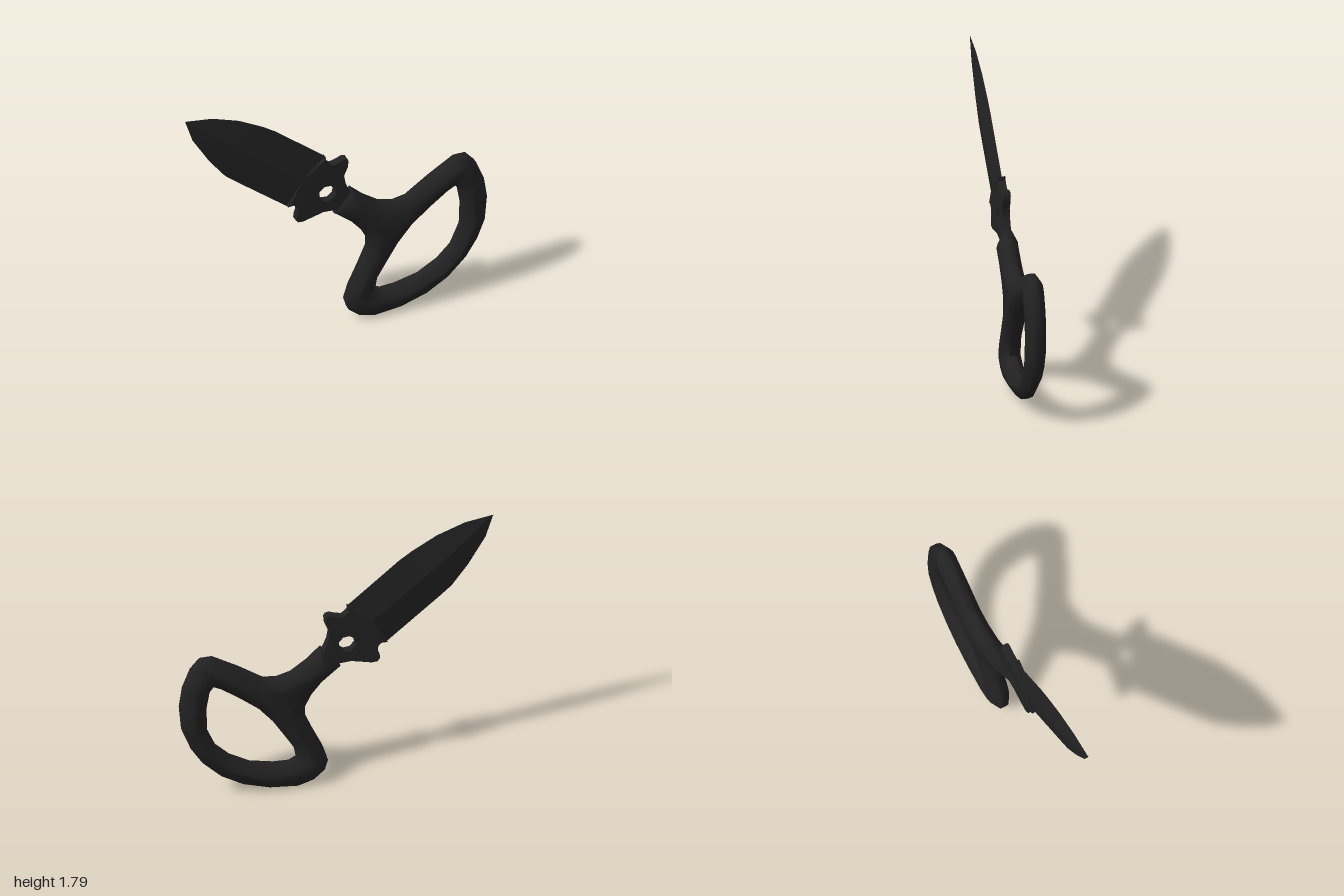
import * as THREE from 'three';
import { toCreasedNormals } from 'three/addons/utils/BufferGeometryUtils.js';

const black = new THREE.MeshStandardMaterial({ color: 0x222222 });
black.name = 'matte black';

const points = (list) => list.map(([x, y]) => new THREE.Vector2(x, y));

// Flat plate with chamfered rims, centred on z = 0, keeping its given outline
function plate(name, outline, hole, halfEdge, halfThick, chamfer, crease) {
  const shape = new THREE.Shape(points(outline));
  shape.holes.push(new THREE.Path(points(hole)));
  const geometry = new THREE.ExtrudeGeometry(shape, {
    depth: halfEdge * 2, bevelEnabled: true, bevelSegments: 1,
    bevelThickness: halfThick - halfEdge, bevelSize: chamfer, bevelOffset: -chamfer,
  });
  geometry.translate(0, 0, -halfEdge);
  const mesh = new THREE.Mesh(toCreasedNormals(geometry, crease), black);
  mesh.name = name;
  return mesh;
}

// Double-edged blade: diamond sections lofted from the tip to the guard
function makeBlade() {
  // upper edge x, y, lower edge x, y, ridge half thickness
  const stations = [
    [-1, 1.79, -1, 1.79, 0],
    [-0.82, 1.765, -0.95, 1.635, 0.013],
    [-0.64, 1.70, -0.84, 1.45, 0.027],
    [-0.48, 1.61, -0.735, 1.31, 0.027],
    [-0.40, 1.555, -0.66, 1.245, 0.027],
    [-0.07, 1.28, -0.325, 0.97, 0.027],
  ];
  const position = [], index = [];
  stations.forEach(([ux, uy, lx, ly, t], i) => {
    const mx = (ux + lx) / 2, my = (uy + ly) / 2;
    position.push(ux, uy, 0, mx, my, t, lx, ly, 0, mx, my, -t);
    if (i === 0) return;
    for (let j = 0; j < 4; j++) {
      const k = (j + 1) % 4, p = (i - 1) * 4, q = i * 4;
      if (i > 1) index.push(p + j, p + k, q + j);
      index.push(p + k, q + k, q + j);
    }
  });
  const end = (stations.length - 1) * 4;
  index.push(end, end + 1, end + 2, end, end + 2, end + 3);
  const geometry = new THREE.BufferGeometry();
  geometry.setAttribute('position', new THREE.Float32BufferAttribute(position, 3));
  geometry.setIndex(index);
  const mesh = new THREE.Mesh(toCreasedNormals(geometry, 0.15), black);
  mesh.name = 'blade';
  return mesh;
}

// Guard with finger notches, pointed lugs and an octagonal hole
function makeGuard() {
  const outline = [
    [-0.07, 1.278], [-0.07, 1.245], [-0.035, 1.215], [0.0, 1.222], [0.045, 1.24],
    [0.07, 1.235], [0.08, 1.215], [0.075, 1.17], [0.05, 1.11], [0.06, 1.05],
    [0.085, 0.99], [0.13, 0.92], [0.04, 0.82], [-0.01, 0.868], [-0.09, 0.872],
    [-0.22, 0.838], [-0.255, 0.84], [-0.272, 0.86], [-0.27, 0.89], [-0.258, 0.925],
    [-0.262, 0.957], [-0.285, 0.975], [-0.323, 0.972], [-0.23, 1.15],
  ];
  const hole = [];
  for (let i = 0; i < 8; i++) {
    const a = (i + 0.4) * Math.PI / 4;
    hole.push([-0.063 + 0.056 * Math.cos(a), 1.007 + 0.056 * Math.sin(a)]);
  }
  return plate('guard', outline, hole, 0.021, 0.026, 0.005, 0.6);
}

// Neck and closed hand loop in one chamfered piece
function makeHandle() {
  const outline = [
    [0.10, 0.995], [0.19, 0.91], [0.29, 0.84], [0.385, 0.815], [0.47, 0.83],
    [0.62, 0.935], [0.79, 1.04], [0.87, 1.04], [0.93, 0.97], [0.98, 0.84],
    [1.0, 0.70], [0.985, 0.53], [0.935, 0.40], [0.86, 0.28], [0.74, 0.16],
    [0.60, 0.075], [0.43, 0.02], [0.25, 0.0], [0.15, 0.03], [0.08, 0.09],
    [0.06, 0.16], [0.09, 0.26], [0.15, 0.39], [0.205, 0.52], [0.205, 0.59],
    [0.165, 0.67], [0.10, 0.75], [-0.02, 0.85],
  ];
  const hole = [
    [0.255, 0.20], [0.30, 0.175], [0.40, 0.18], [0.55, 0.215], [0.68, 0.29],
    [0.77, 0.38], [0.83, 0.52], [0.835, 0.68], [0.815, 0.80], [0.79, 0.835],
    [0.74, 0.81], [0.62, 0.72], [0.50, 0.62], [0.41, 0.51], [0.33, 0.38], [0.27, 0.28],
  ];
  return plate('handle', outline, hole, 0.022, 0.063, 0.062, 1.0);
}

export function createModel() {
  const model = new THREE.Group();
  model.name = 'push dagger';
  model.add(makeBlade(), makeGuard(), makeHandle());
  // Centre across x and z and stand on the ground
  const box = new THREE.Box3().setFromObject(model);
  const centre = box.getCenter(new THREE.Vector3());
  model.children.forEach((part) => part.geometry.translate(-centre.x, -box.min.y, -centre.z));
  return model;
}
